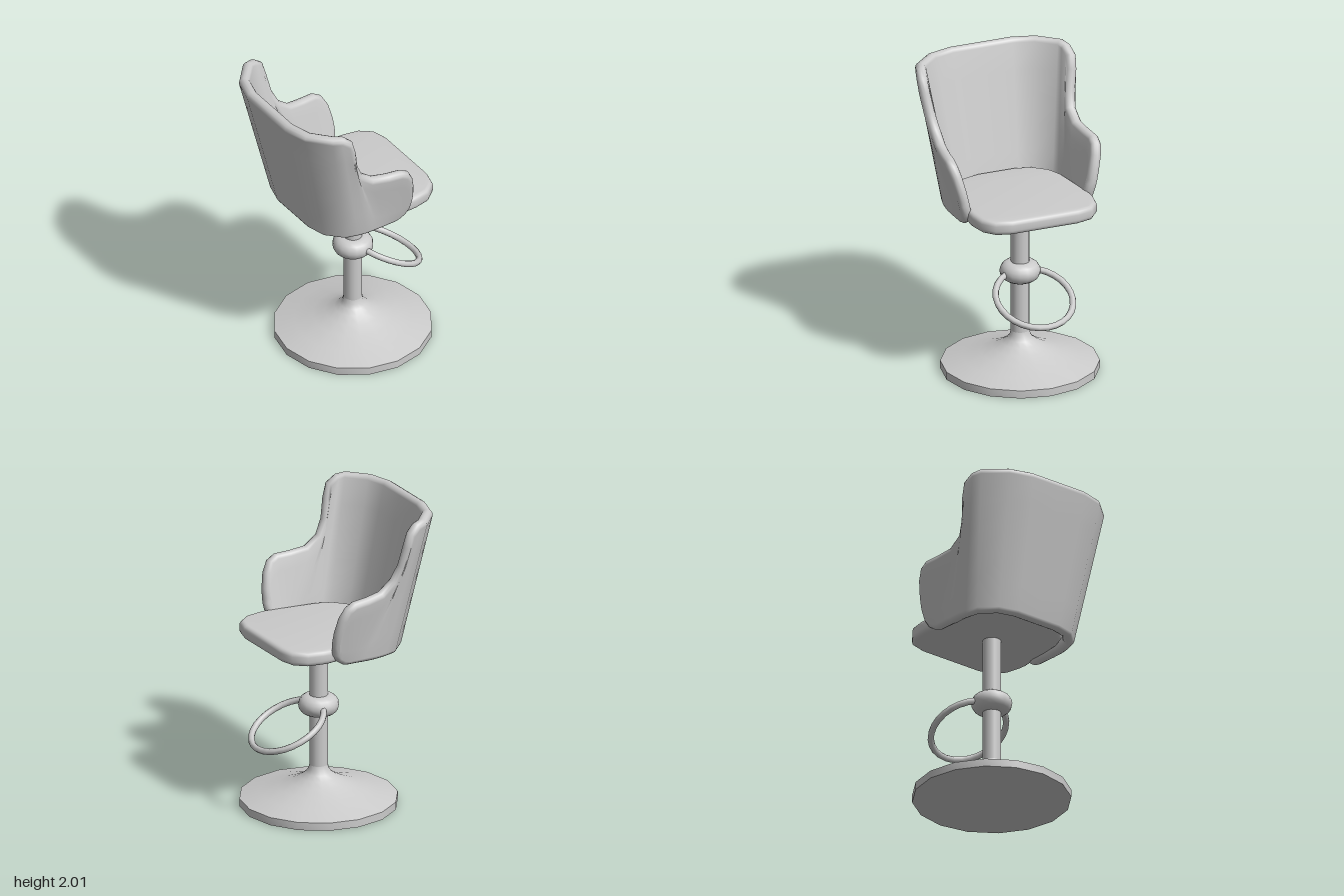
import * as THREE from 'three';
import { toCreasedNormals } from 'three/addons/utils/BufferGeometryUtils.js';

const V = (x, y, z) => new THREE.Vector3(x, y, z);
const STEM_X = 0.08;

// Outer face of half the shell, from back centre to arm tip: bottom xyz, top xyz
const COLUMNS = [
  [-0.38, 1.08, 0, -0.597, 2, 0],
  [-0.38, 1.08, 0.17, -0.597, 2, 0.215],
  [-0.345, 1.08, 0.30, -0.55, 2, 0.38],
  [-0.25, 1.08, 0.40, -0.425, 2, 0.52],
  [-0.17, 1.08, 0.425, -0.35, 1.99, 0.545],
  [-0.11, 1.08, 0.435, -0.285, 1.94, 0.557],
  [-0.07, 1.08, 0.438, -0.25, 1.85, 0.545],
  [-0.03, 1.08, 0.438, -0.222, 1.72, 0.522],
  [0.0, 1.08, 0.438, -0.18, 1.62, 0.51],
  [0.03, 1.08, 0.436, -0.10, 1.557, 0.515],
  [0.07, 1.08, 0.435, 0.01, 1.54, 0.53],
  [0.11, 1.08, 0.435, 0.11, 1.533, 0.54],
  [0.15, 1.09, 0.437, 0.168, 1.5, 0.536],
  [0.195, 1.12, 0.445, 0.208, 1.43, 0.519],
  [0.225, 1.17, 0.457, 0.229, 1.33, 0.495],
  [0.235, 1.235, 0.472, 0.235, 1.27, 0.48],
];

// Padded wraparound wall with a rounded rim all the way round
function shellGeometry(thickness = 0.072, round = 0.035, rows = 5, arc = 6) {
  const mirrored = COLUMNS.slice(1).reverse().map(([a, b, c, d, e, f]) => [a, b, -c, d, e, -f]);
  const cols = [...mirrored, ...COLUMNS];
  const n = cols.length;
  const bottom = cols.map(c => V(c[0], c[1], c[2]));
  const top = cols.map(c => V(c[3], c[4], c[5]));
  const mid = bottom.map((b, i) => b.clone().lerp(top[i], 0.5));
  const loopSize = 2 * (rows + arc);
  const positions = [], index = [];

  for (let i = 0; i < n; i++) {
    const along = mid[Math.min(i + 1, n - 1)].clone().sub(mid[Math.max(i - 1, 0)]);
    const out = along.cross(top[i].clone().sub(bottom[i])).normalize();
    // Point on the rim, a = 0 on the outer face, PI on the inner face
    const rim = (edge, other, sign, a) => {
      const next = i < n - 1 ? edge[i + 1] : other[i];
      const prev = i > 0 ? edge[i - 1] : other[i];
      const inward = out.clone().cross(next.clone().sub(prev)).normalize().multiplyScalar(sign);
      return edge[i].clone()
        .addScaledVector(inward, round * (1 - Math.sin(a)))
        .addScaledVector(out, -thickness / 2 * (1 - Math.cos(a)));
    };
    const low = a => rim(bottom, top, 1, a);
    const high = a => rim(top, bottom, -1, a);
    const loop = [];
    for (let r = 0; r < rows; r++) loop.push(low(0).lerp(high(0), r / rows));
    for (let k = 0; k < arc; k++) loop.push(high(Math.PI * k / arc));
    for (let r = 0; r < rows; r++) loop.push(high(Math.PI).lerp(low(Math.PI), r / rows));
    for (let k = 0; k < arc; k++) loop.push(low(Math.PI * (1 - k / arc)));
    loop.forEach(p => positions.push(p.x, p.y, p.z));
  }

  const id = (i, j) => i * loopSize + (j + loopSize) % loopSize;
  const quad = (a, b, c, d) => index.push(a, b, c, a, c, d);
  for (let i = 0; i < n - 1; i++)
    for (let j = 0; j < loopSize; j++) quad(id(i, j), id(i + 1, j), id(i + 1, j + 1), id(i, j + 1));
  // Close the two arm tips
  for (let k = 0; k < arc; k++) {
    const e = n - 1;
    quad(id(e, -k), id(e, -k - 1), id(e, rows + k + 1), id(e, rows + k));
    quad(id(0, rows + k), id(0, rows + k + 1), id(0, -k - 1), id(0, -k));
  }
  const g = new THREE.BufferGeometry();
  g.setAttribute('position', new THREE.Float32BufferAttribute(positions, 3));
  g.setIndex(index);
  g.computeVertexNormals();
  return g;
}

// Cushion: tapered outline with clipped corners and soft edges
function seatGeometry() {
  const half = [[-0.33, 0.13], [-0.30, 0.245], [-0.22, 0.335], [-0.12, 0.375],
    [0.24, 0.423], [0.29, 0.42], [0.39, 0.40], [0.47, 0.335], [0.498, 0.23]];
  const outline = [...half, ...half.slice().reverse().map(([x, z]) => [x, -z])];
  const bevel = 0.03, height = 0.095;
  const g = new THREE.ExtrudeGeometry(new THREE.Shape(outline.map(p => new THREE.Vector2(...p))), {
    depth: height - 2 * bevel, bevelEnabled: true, bevelThickness: bevel,
    bevelSize: bevel, bevelOffset: -bevel, bevelSegments: 4,
  });
  g.rotateX(-Math.PI / 2).translate(0, 1.115 + bevel, 0);
  return toCreasedNormals(g, 0.8);
}

const lathe = (points, sides) =>
  toCreasedNormals(new THREE.LatheGeometry(points.map(p => new THREE.Vector2(...p)), sides), 0.7);

export function createModel() {
  const model = new THREE.Group();
  const material = new THREE.MeshStandardMaterial({ color: 0xcccccc });
  const add = (name, geometry, x = 0, y = 0) => {
    const mesh = new THREE.Mesh(geometry, material);
    mesh.name = name;
    mesh.position.set(x, y, 0);
    model.add(mesh);
    return mesh;
  };

  // Flared foot
  add('base', lathe([[0, 0], [0.51, 0], [0.51, 0.052], [0.38, 0.087], [0.26, 0.122], [0.18, 0.152],
    [0.12, 0.183], [0.085, 0.21], [0.067, 0.235], [0.06, 0.265]], 16), STEM_X);

  // Column
  add('post', new THREE.CylinderGeometry(0.06, 0.06, 0.87, 16), STEM_X, 0.695);

  // Rounded collar that carries the footrest
  const collar = [[0, -0.066]];
  for (let k = 0; k <= 8; k++) {
    const a = Math.PI * (k / 8 - 0.5);
    collar.push([0.066 + 0.066 * Math.cos(a), 0.066 * Math.sin(a)]);
  }
  collar.push([0, 0.066]);
  add('footrestCollar', lathe(collar, 16), STEM_X, 0.675);

  // Tilted foot ring
  const ring = new THREE.TorusGeometry(0.252, 0.021, 8, 28);
  ring.rotateX(Math.PI / 2).rotateZ(-0.475);
  add('footrestRing', ring, 0.31, 0.57);

  add('seat', seatGeometry());
  add('backAndArms', shellGeometry());
  return model;
}
